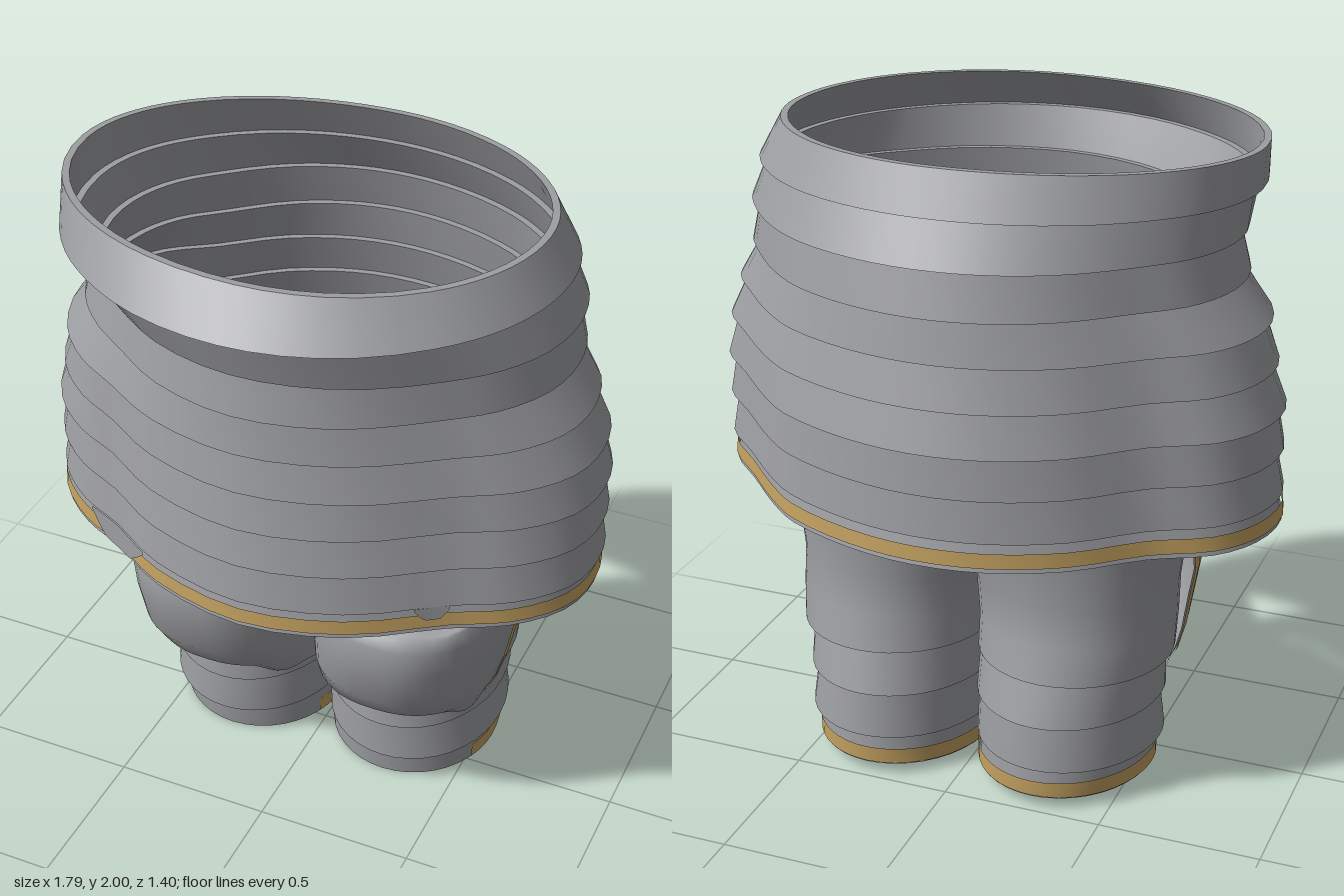
import * as THREE from 'three';
import { mergeGeometries } from 'three/addons/utils/BufferGeometryUtils.js';

const steel = new THREE.MeshStandardMaterial({ color: 0x9d9ea2, side: THREE.DoubleSide });
steel.name = 'steel grey';
const gold = new THREE.MeshStandardMaterial({ color: 0xc2a060, side: THREE.DoubleSide });
gold.name = 'dull gold';

// Smooth surface through a list of rings, each an array of [x, y, z]; rows run top to bottom
function loft(rings, closed = true) {
  const n = rings[0].length, index = [];
  for (let r = 0; r < rings.length - 1; r++) {
    for (let i = 0; i < (closed ? n : n - 1); i++) {
      const a = r * n + i, b = r * n + (i + 1) % n;
      index.push(a, b, a + n, b, b + n, a + n);
    }
  }
  const g = new THREE.BufferGeometry();
  g.setAttribute('position', new THREE.Float32BufferAttribute(rings.flat(2), 3));
  g.setIndex(index);
  g.computeVertexNormals();
  return g;
}

function add(group, name, geometry, material) {
  const m = new THREE.Mesh(geometry, material);
  m.name = name;
  group.add(m);
  return m;
}

const sweep = (from, to, n, fn) => Array.from({ length: n + 1 }, (_, i) => fn(from + (to - from) * i / n));
const around = (n, full, fn) => sweep(0, full, n, fn).slice(0, n);
const pw = (v, e) => Math.sign(v) * Math.pow(Math.abs(v), e);

// Plan of the skirt hem on a unit scale, as x, z from the left side round by the front
const PLAN = [
  [1, 0], [0.96, 0.26], [0.82, 0.48], [0.64, 0.62], [0.34, 0.89], [0, 1], [-0.34, 0.89], [-0.56, 0.7],
  [-0.73, 0.58], [-0.89, 0.37], [-1, 0], [-0.97, -0.27], [-0.865, -0.46], [-0.675, -0.6], [-0.46, -0.83],
  [-0.22, -0.965], [0.02, -1], [0.26, -0.95], [0.52, -0.81], [0.65, -0.67], [0.81, -0.45], [0.955, -0.25],
];
const planCurve = new THREE.CatmullRomCurve3(PLAN.map(([x, z]) => new THREE.Vector3(x, 0, z)), true);

// Skirt edge: height, reach to the right, left, front, back, depth of the dent,
// and blend from an ellipse (0) to the hem plan (1)
const SKIRT = [
  [2.0, 0.79, 0.675, 0.59, 0.535, 0, 0],
  [1.875, 0.785, 0.745, 0.70, 0.60, 0, 0.1],
  [1.745, 0.755, 0.775, 0.645, 0.65, 0.04, 0.3],
  [1.61, 0.76, 0.78, 0.64, 0.665, 0.02, 0.5],
  [1.48, 0.83, 0.835, 0.63, 0.67, 0, 0.7],
  [1.35, 0.855, 0.875, 0.63, 0.685, 0, 0.85],
  [1.22, 0.885, 0.89, 0.63, 0.70, 0, 1],
  [1.09, 0.885, 0.89, 0.63, 0.69, 0, 1],
  [0.955, 0.89, 0.89, 0.625, 0.68, 0, 1],
  [0.865, 0.89, 0.88, 0.62, 0.68, 0, 1],
];

// u counts along the plan points
function skirtPoint([y, right, left, front, back, dent, blend], u, inset = 0, yy = y) {
  const plan = planCurve.getPoint(u / PLAN.length);
  const p = plan.clone().normalize().lerp(plan, blend);
  const k = 1 - dent * Math.exp(-(((u - 7.5) / 2) ** 2)) / 0.6;
  return [p.x * ((p.x > 0 ? left : right) - inset) * k, yy, p.z * ((p.z > 0 ? front : back) - inset) * k];
}

function makeSkirt() {
  const skirt = new THREE.Group();
  skirt.name = 'skirt';
  const ring = (d, inset, y) => around(66, PLAN.length, u => skirtPoint(d, u, inset, y));
  const last = SKIRT.length - 1;
  for (let i = 0; i < last; i++) {
    // each lame flares down to its edge and has an inner wall and a flat upper rim
    const inset = i ? 0.025 : 0;
    const top = ring(SKIRT[i], inset), low = ring(SKIRT[i + 1]);
    const innerTop = ring(SKIRT[i], inset + 0.022), innerLow = ring(SKIRT[i + 1], 0.025);
    add(skirt, 'lame' + (i + 1), mergeGeometries([
      loft([top, low]), loft([low, innerLow]), loft([innerLow, innerTop]), loft([innerTop, top]),
    ]), steel);
  }
  add(skirt, 'hemTrim', loft([ring(SKIRT[last], 0.001, 0.925), ring(SKIRT[last], -0.004, 0.88)]), gold);

  // small steel bulges breaking through the hem
  for (const [from, to, drop] of [[6.25, 7.7, 0.075], [3.0, 3.35, 0.035]]) {
    const upper = sweep(from, to, 8, u => skirtPoint(SKIRT[last], u, -0.008, 0.955));
    const lower = sweep(0, 1, 8, s => skirtPoint(SKIRT[last], from + (to - from) * s, -0.009,
      0.945 - drop * Math.min(1, 1.3 * Math.sin(Math.PI * s))));
    add(skirt, 'hemBulge', loft([upper, lower], false), steel);
  }
  return skirt;
}

// Leg bands, each a run of sections: height, inner x, outer x, front z, back z
const LEG = [
  [[1.0, -0.12, 0.65, 0.47, -0.50], [0.85, -0.12, 0.68, 0.47, -0.46], [0.79, -0.10, 0.645, 0.38, -0.455]],
  [[0.79, -0.09, 0.62, 0.35, -0.44], [0.62, -0.02, 0.60, 0.30, -0.42],
    [0.5, -0.005, 0.60, 0.26, -0.445], [0.39, -0.005, 0.595, 0.23, -0.475]],
  [[0.39, 0, 0.565, 0.20, -0.45], [0.25, -0.005, 0.57, 0.215, -0.495]],
  [[0.25, 0, 0.55, 0.19, -0.47], [0.1, -0.005, 0.57, 0.195, -0.49]],
  [[0.1, 0, 0.545, 0.165, -0.465], [0, 0, 0.545, 0.155, -0.475]],
];

function legPoint([y, inner, outer, front, back], t, grow = 0) {
  // widest a little behind the middle
  const mid = -0.13, s = Math.sin(t);
  const z = mid + ((s > 0 ? front - mid : mid - back) + grow) * s;
  return [(inner + outer) / 2 + ((outer - inner) / 2 + grow) * Math.cos(t), y + 0.055 * (0.155 - z) + (y > 0.7 ? 0.015 : 0), z];
}

// Knee plate sections: height, width, back edge z, front z
const PLATE = [
  [0.738, 0.645, -0.088, 0.352], [0.69, 0.648, -0.08, 0.37], [0.6, 0.63, -0.065, 0.375],
  [0.46, 0.605, -0.045, 0.345], [0.37, 0.58, -0.035, 0.285], [0.3, 0.55, -0.025, 0.19],
];

function platePoint(row, t, grow = 0) {
  const [y, w, zb, zf] = PLATE[row];
  const end = row === 0 ? 0.016 * Math.cos(2 * t) + 0.006 * Math.cos(9 * t)
    : row === PLATE.length - 1 ? 0.012 * Math.cos(7 * t) - 0.004 : 0;
  return [w / 2 + (w / 2 + grow) * pw(Math.cos(t), 0.85), y + end,
    zb + (zf - zb + grow) * pw(Math.sin(t), 0.9)];
}

function makeLeg(side) {
  const leg = new THREE.Group();
  leg.name = side > 0 ? 'leftLeg' : 'rightLeg';
  const mirror = p => [p[0] * side, p[1], p[2]];
  const legRing = (d, grow) => around(40, Math.PI * 2, t => mirror(legPoint(d, t, grow)));

  LEG.forEach((band, i) => {
    const edge = band[band.length - 1], ankleEnd = i === LEG.length - 1;
    add(leg, 'legBand' + (i + 1), loft(band.map(d => legRing(d))), steel);
    add(leg, ankleEnd ? 'ankleRim' : 'bandRim', loft([legRing(edge), legRing(edge, -0.022)]), ankleEnd ? gold : steel);
  });

  // gold trim around the back of the ankle
  const trim = y => sweep(-Math.PI - 0.45, 0.45, 30, t => {
    const p = legPoint(LEG[4][1], t, 0.004);
    return mirror([p[0], p[1] + y, p[2]]);
  });
  add(leg, 'ankleTrim', loft([trim(0.055), trim(0.005)], false), gold);

  // rounded knee plate with a domed top
  const rows = PLATE.map((_, r) => sweep(0, Math.PI, 26, t => mirror(platePoint(r, t))));
  const dome = [0, 0.4, 0.7, 0.88, 0.96].map(k => sweep(0, Math.PI, 26, t => {
    const p = platePoint(0, t);
    return mirror([0.32 + (p[0] - 0.32) * (0.8 + 0.2 * k), p[1] + (0.785 - p[1]) * (1 - k ** 4), -0.09 + (p[2] + 0.09) * k]);
  }));
  add(leg, 'kneePlate', loft([...dome, ...rows], false), steel);

  // gold borders along the side edges of the plate, then across its top and bottom
  for (const [from, to] of [[0, 0.09], [Math.PI - 0.09, Math.PI]]) {
    const border = PLATE.map((_, r) => sweep(from, to, 4, t => mirror(platePoint(r, t, 0.005))));
    add(leg, 'plateBorder', loft(border, false), gold);
  }
  for (const [width, x, y, z] of [[0.62, 0.32, 0.787, -0.09], [0.53, 0.28, 0.3, -0.02]]) {
    const bar = add(leg, 'plateBackTrim', new THREE.BoxGeometry(width, 0.009, 0.03), gold);
    bar.position.set(side * x, y, z);
  }

  // short strap from the plate to the thigh cuff
  const strap = add(leg, 'strap', new THREE.BoxGeometry(0.055, 0.009, 0.14), gold);
  strap.position.set(side * 0.29, 0.9, 0.395);
  strap.rotation.set(-0.3, side * 0.25, 0);
  return leg;
}

export function createModel() {
  const model = new THREE.Group();
  model.name = 'armourSkirtAndLegs';
  model.add(makeSkirt(), makeLeg(1), makeLeg(-1));
  return model;
}
